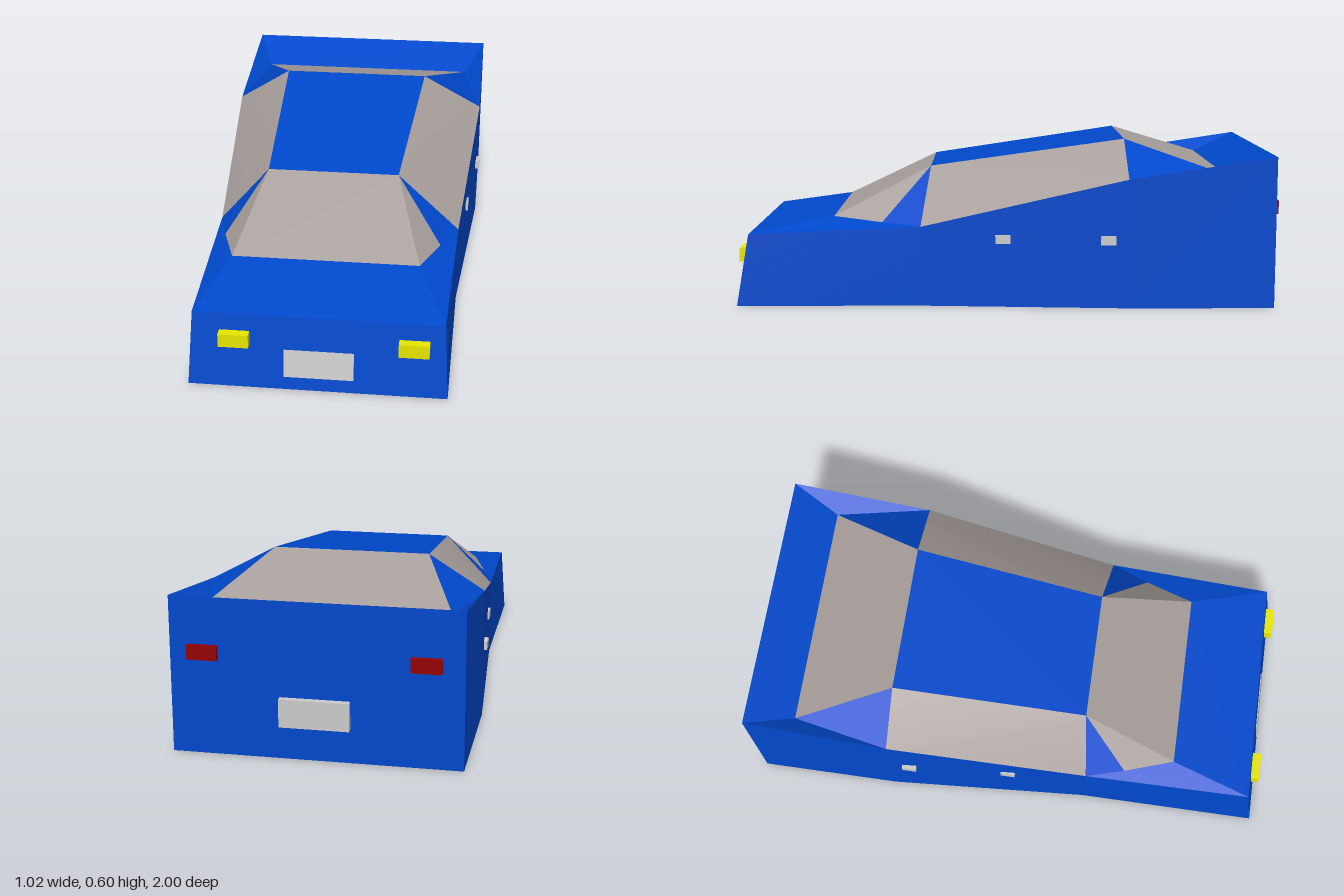
import * as THREE from 'three';

const mat = (color) => new THREE.MeshStandardMaterial({ color });
const blue = mat(0x0048cc), glass = mat(0xa89f9c), grey = mat(0xcccccc);
const yellow = mat(0xe6e600), red = mat(0x950000);
// A point on the inner side of every panel
const inside = new THREE.Vector3(0, 0.02, 0);

// One panel from its corner points, fanned from the first and turned outwards
function panel(parent, name, material, ...corners) {
  const pts = corners.map((c) => new THREE.Vector3(...c));
  const mid = pts.reduce((s, p) => s.add(p), new THREE.Vector3()).divideScalar(pts.length);
  const normal = new THREE.Vector3();
  for (let i = 1; i < pts.length - 1; i++) {
    normal.add(pts[i].clone().sub(pts[0]).cross(pts[i + 1].clone().sub(pts[0])));
  }
  const out = normal.dot(mid.sub(inside)) > 0;
  const index = [];
  for (let i = 1; i < pts.length - 1; i++) index.push(0, out ? i : i + 1, out ? i + 1 : i);
  const geo = new THREE.BufferGeometry().setFromPoints(pts);
  geo.setIndex(index);
  geo.computeVertexNormals();
  const mesh = new THREE.Mesh(geo, material);
  mesh.name = name;
  parent.add(mesh);
}

function box(parent, name, material, size, pos) {
  const mesh = new THREE.Mesh(new THREE.BoxGeometry(...size), material);
  mesh.name = name;
  mesh.position.set(...pos);
  parent.add(mesh);
  return mesh;
}

export function createModel() {
  const car = new THREE.Group();
  car.name = 'wedgeCar';
  const body = new THREE.Group();
  body.name = 'body';
  car.add(body);

  // Corner points of each side; the cabin is slightly off-centre
  const side = (s, roofF, roofR, baseF, baseM, winR) => ({
    low: [[s * 0.45, 0, 1], [s * 0.45, 0, 0.32], [s * 0.503, 0, -0.44], [s * 0.503, 0, -0.977]],
    top: [[s * 0.435, 0.265, 0.955], [s * 0.45, 0.295, 0.32], [s * 0.503, 0.475, -0.44], [s * 0.503, 0.557, -0.977]],
    roofFront: [roofF, 0.495, 0.29],
    roofRear: [roofR, 0.602, -0.44],
    cowl: [baseF, 0.317, 0.65],
    cowlCorner: [baseM, 0.303, 0.465],
    rearSill: [winR, 0.485, -0.8],
  });
  const L = side(1, 0.22, 0.27, 0.325, 0.39, 0.425);
  const R = side(-1, -0.27, -0.3, -0.35, -0.41, -0.435);

  for (const [label, s] of [['left', L], ['right', R]]) {
    for (let i = 0; i < 3; i++) {
      panel(body, label + 'Flank', blue, s.low[i], s.low[i + 1], s.top[i + 1], s.top[i]);
    }
    panel(body, label + 'HoodEdge', blue, s.top[0], s.cowl, s.cowlCorner, s.top[1]);
    panel(body, label + 'FrontPillar', blue, s.roofFront, s.cowlCorner, s.top[1]);
    panel(body, label + 'WindshieldCorner', glass, s.roofFront, s.cowl, s.cowlCorner);
    panel(body, label + 'SideWindow', glass, s.roofFront, s.top[1], s.top[2], s.roofRear);
    panel(body, label + 'RearPillar', blue, s.roofRear, s.top[2], s.rearSill);
    panel(body, label + 'TrunkEdge', blue, s.top[2], s.top[3], s.rearSill);
  }

  // Panels spanning the car from side to side
  const across = (name, material, a, b) => panel(body, name, material, a(R), a(L), b(L), b(R));
  across('nose', blue, (s) => s.low[0], (s) => s.top[0]);
  across('hood', blue, (s) => s.top[0], (s) => s.cowl);
  across('windshield', glass, (s) => s.cowl, (s) => s.roofFront);
  across('roof', blue, (s) => s.roofFront, (s) => s.roofRear);
  across('rearWindow', glass, (s) => s.roofRear, (s) => s.rearSill);
  across('trunkLid', blue, (s) => s.rearSill, (s) => s.top[3]);
  across('tail', blue, (s) => s.top[3], (s) => s.low[3]);
  for (let i = 0; i < 3; i++) across('underside', grey, (s) => s.low[i], (s) => s.low[i + 1]);

  // Lamps
  for (const x of [-0.288, 0.332]) box(car, 'headlight', yellow, [0.105, 0.05, 0.04], [x, 0.18, 0.978]);
  for (const x of [-0.375, 0.388]) box(car, 'tailLight', red, [0.105, 0.05, 0.025], [x, 0.365, -0.984]);

  // Blank plates, the front one lying on the sloped nose
  const plate = box(car, 'frontPlate', grey, [0.242, 0.1, 0.01], [0.005, 0.095, 0.982]);
  plate.rotation.x = -Math.atan2(0.045, 0.265);
  box(car, 'rearPlate', grey, [0.242, 0.1, 0.03], [0.003, 0.17, -0.985]);

  // Door handles
  for (const s of [-1, 1]) {
    for (const [x, z] of [[0.471, 0.018], [0.504, -0.367]]) {
      box(car, 'doorHandle', grey, [0.016, 0.032, 0.055], [s * x, 0.252, z]);
    }
  }
  return car;
}
